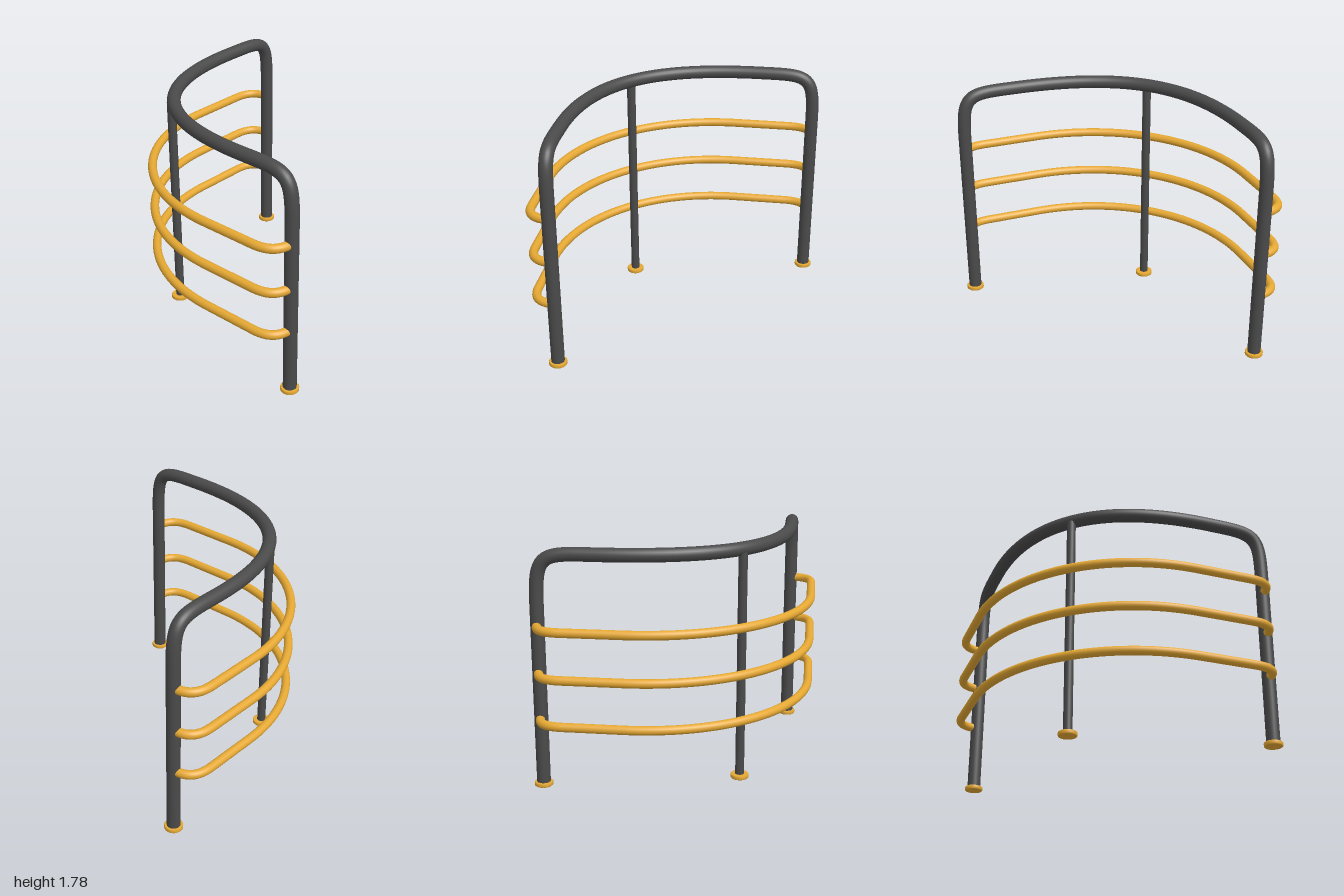
import * as THREE from 'three';

const V = (x, y, z) => new THREE.Vector3(x, y, z);
const END = 0.93, SIDE = -0.795; // post position; the other end swaps x and z
const TOP = 1.73;

const dark = new THREE.MeshStandardMaterial({ color: 0x4a4a4a });
const yellow = new THREE.MeshStandardMaterial({ color: 0xe5a833 });

function add(group, name, geometry, material) {
  const mesh = new THREE.Mesh(geometry, material);
  mesh.name = name;
  group.add(mesh);
  return mesh;
}

// Curve through one half of cubic segments, the corner, then the mirrored half
function symmetricPath(half, corner) {
  const swap = (p) => V(p.z, p.y, p.x);
  const path = new THREE.CurvePath();
  const bezier = (p) => path.add(new THREE.CubicBezierCurve3(...p));
  const line = (a, b) => path.add(new THREE.LineCurve3(a, b));
  const put = (p) => (p.length === 2 ? line(...p) : bezier(p));
  half.forEach(put);
  bezier(corner);
  [...half].reverse().forEach((p) => put([...p].reverse().map(swap)));
  return path;
}

// Post, bend, curved handrail, bend and post in a single pipe
function handrailPath() {
  const half = [
    [V(END, 0.02, SIDE), V(END, 1.36, SIDE)],
    [V(END, 1.36, SIDE), V(END, 1.70, SIDE), V(0.90, TOP, SIDE), V(0.6, TOP, SIDE)],
    [V(0.6, TOP, SIDE), V(0.5, TOP, SIDE)],
  ];
  const h = 0.5 + (SIDE - 0.5) * 2 / 3;
  return symmetricPath(half, [V(0.5, TOP, SIDE), V(h, TOP, SIDE), V(SIDE, TOP, h), V(SIDE, TOP, 0.5)]);
}

// Horizontal rail that hooks back into both posts
function railPath(y) {
  const out = -0.967;
  const half = [
    [V(END, y, SIDE), V(0.925, y, -0.91), V(0.87, y, out), V(0.73, y, out)],
    [V(0.73, y, out), V(0.3, y, out)],
  ];
  return symmetricPath(half, [V(0.3, y, out), V(-0.41, y, out), V(out, y, -0.41), V(out, y, 0.3)]);
}

export function createModel() {
  const model = new THREE.Group();
  model.name = 'curvedRailing';

  add(model, 'handrailWithPosts', new THREE.TubeGeometry(handrailPath(), 260, 0.05, 24), dark);

  // Thin support post under the middle of the handrail
  const mid = -0.485;
  const post = add(model, 'middlePost', new THREE.CylinderGeometry(0.033, 0.033, 1.69, 24), dark);
  post.position.set(mid, 0.02 + 1.69 / 2, mid);

  // Three horizontal rails
  [0.525, 0.87, 1.215].forEach((y, i) => {
    add(model, `rail${i + 1}`, new THREE.TubeGeometry(railPath(y), 180, 0.033, 20), yellow);
  });

  // Round foot discs with slightly bevelled rims
  const profile = [[0, 0], [0.063, 0], [0.068, 0.005], [0.068, 0.026], [0.063, 0.031], [0, 0.031]]
    .map(([x, y]) => new THREE.Vector2(x, y));
  const footGeometry = new THREE.LatheGeometry(profile, 32);
  [[END, SIDE], [mid, mid], [SIDE, END]].forEach(([x, z], i) => {
    add(model, `foot${i + 1}`, footGeometry, yellow).position.set(x, 0, z);
  });

  return model;
}
